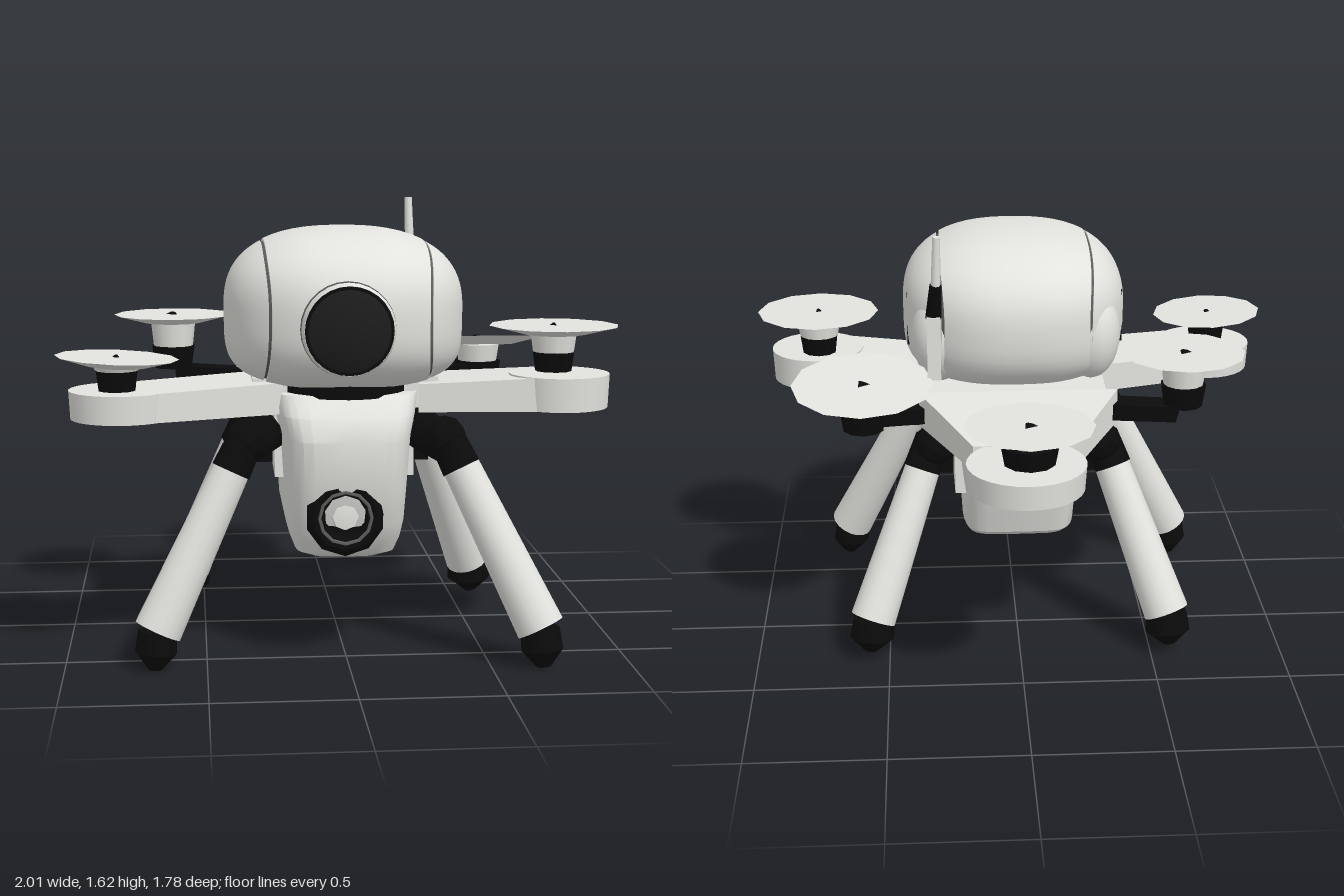
import * as THREE from 'three';
import { toCreasedNormals } from 'three/addons/utils/BufferGeometryUtils.js';

const mat = (name, color) => Object.assign(new THREE.MeshStandardMaterial({ color }), { name });

export function createModel() {
  const model = new THREE.Group();
  const shell = mat('pale grey shell', 0xe2e2de);
  const black = mat('black rubber', 0x0b0b0b);
  const glass = mat('dark glass', 0x1c1c1d);
  const seam = mat('seam grey', 0x5c5c5a);
  const V = (x, y, z) => new THREE.Vector3(x, y, z);

  const add = (name, geo, material, pos) => {
    const mesh = new THREE.Mesh(geo, material);
    mesh.name = name;
    if (pos) mesh.position.copy(pos);
    model.add(mesh);
    return mesh;
  };
  const faceted = (geo, angle = 0.01) => toCreasedNormals(geo, angle);

  // closed skin over rings of points, each ring counterclockwise about the axis
  const loft = (rings, crease) => {
    const n = rings[0].length, pts = rings.flat(), idx = [];
    for (let i = 0; i < rings.length - 1; i++) for (let j = 0; j < n; j++) {
      const a = i * n + j, b = i * n + (j + 1) % n;
      idx.push(a, b, b + n, a, b + n, a + n);
    }
    [rings[0], rings[rings.length - 1]].forEach((ring, end) => {
      const c = pts.length, o = end ? (rings.length - 1) * n : 0;
      pts.push(ring.reduce((s, p) => s.add(p), V(0, 0, 0)).divideScalar(n));
      for (let j = 0; j < n; j++) {
        const a = o + j, b = o + (j + 1) % n;
        if (end) idx.push(c, a, b); else idx.push(c, b, a);
      }
    });
    const geo = new THREE.BufferGeometry().setFromPoints(pts);
    geo.setIndex(idx);
    geo.computeVertexNormals();
    return toCreasedNormals(geo, crease);
  };
  const spow = (v, p) => Math.sign(v) * Math.pow(Math.abs(v), p);

  // round tapered rod between two points
  const rod = (name, a, b, ra, rb, material, sides = 16) => {
    const d = b.clone().sub(a);
    const geo = new THREE.CylinderGeometry(rb, ra, d.length(), sides);
    const mesh = add(name, geo, material, a.clone().add(b).multiplyScalar(0.5));
    mesh.quaternion.setFromUnitVectors(V(0, 1, 0), d.normalize());
    return mesh;
  };

  // flat beam between two points with its own width and height at each end
  const beam = (name, a, b, wa, wb, ha, hb, material) => {
    const geo = new THREE.BoxGeometry(1, 1, 1), p = geo.attributes.position;
    const d = b.clone().sub(a);
    const side = V(d.z, 0, -d.x).normalize();
    for (let i = 0; i < p.count; i++) {
      const t = p.getZ(i) + 0.5;
      const q = a.clone().addScaledVector(d, t)
        .addScaledVector(side, p.getX(i) * (wa + (wb - wa) * t));
      p.setXYZ(i, q.x, q.y + p.getY(i) * (ha + (hb - ha) * t), q.z);
    }
    return add(name, faceted(geo), material);
  };

  // head: slices of one domed pod with a fuller underside, cut by two curved seams
  const pod = (x0, x1, scale, steps) => {
    const rings = [], t0 = Math.asin(x0 / 0.425), t1 = Math.asin(x1 / 0.425);
    for (let i = 0; i <= steps; i++) {
      const x = 0.425 * Math.sin(t0 + (t1 - t0) * i / steps);
      const s = Math.pow(1 - Math.pow(Math.abs(x) / 0.425, 2.5), 0.4);
      rings.push(Array.from({ length: 48 }, (_, j) => {
        const a = j / 48 * Math.PI * 2, up = Math.cos(a), out = Math.sin(a);
        const e = up > 0 ? 2 / 2.35 : 2 / 3;
        const rise = 0.285 * scale * (up > 0 ? s : Math.sqrt(s));
        return V(x * (1 - 0.1 * (s * out) ** 4), 1.262 + rise * spow(up, e),
          0.315 + 0.465 * scale * s * spow(out, e));
      }));
    }
    return loft(rings, 0.7);
  };
  add('headMiddle', pod(-0.283, 0.283, 1, 14), shell);
  add('headSeams', pod(-0.3, 0.3, 0.965, 6), seam);
  add('headLeftSide', pod(0.293, 0.4248, 0.99, 14), shell);
  add('headRightSide', pod(-0.4248, -0.293, 0.99, 14), shell);
  for (const s of [-1, 1]) {
    const slot = add('headSideSlot', new THREE.BoxGeometry(0.03, 0.2, 0.025), black, V(s * 0.395, 1.23, 0.16));
    slot.rotation.x = 0.08;
    add('headRearCheek', new THREE.SphereGeometry(1, 20, 14), shell, V(s * 0.285, 1.19, 0.07))
      .scale.set(0.11, 0.175, 0.13);
  }

  // main camera
  const lathe = (name, profile, material, pos, sides = 28) => {
    const geo = new THREE.LatheGeometry(profile.map(p => new THREE.Vector2(...p)), sides);
    geo.rotateX(Math.PI / 2);
    return add(name, faceted(geo, 0.6), material, pos);
  };
  const lensAt = z => V(-0.02, 1.225, z);
  lathe('cameraRing', [[0.158, -0.08], [0.158, 0.08], [0.15, 0.1], [0.135, 0.1], [0.135, 0.06]], shell, lensAt(0.75));
  lathe('cameraBand', [[0.155, -0.01], [0.161, -0.01], [0.161, 0.01], [0.155, 0.01]], seam, lensAt(0.795));
  lathe('cameraBezel', [[0.15, 0], [0.148, 0.006], [0.138, 0.006]], black, lensAt(0.848));
  lathe('cameraLens', [[0.14, 0], [0.138, 0.034], [0.1, 0.05], [0.05, 0.06], [0, 0.063]], glass, lensAt(0.822));

  // antenna
  add('antennaBase', new THREE.BoxGeometry(0.05, 0.24, 0.08), shell, V(0.31, 1.2, -0.09));
  rod('antennaSocket', V(0.31, 1.31, -0.09), V(0.3, 1.45, -0.135), 0.03, 0.022, black, 8);
  rod('antennaRod', V(0.3, 1.44, -0.133), V(0.295, 1.63, -0.145), 0.018, 0.014, shell, 8);

  // lower hull from level sections: y, front z, back z, half width
  const hull = [
    [0.377, 0.5, 0.14, 0.12], [0.4, 0.55, 0.0, 0.18], [0.45, 0.585, -0.13, 0.2],
    [0.51, 0.62, -0.24, 0.212], [0.65, 0.655, -0.285, 0.22], [0.82, 0.685, -0.335, 0.23],
    [0.9, 0.655, -0.36, 0.25], [0.97, 0.58, -0.3, 0.265],
  ].map(([y, f, b, w]) => Array.from({ length: 32 }, (_, j) => {
    const a = j / 32 * Math.PI * 2;
    return V(w * spow(Math.sin(a), 0.36), y, (f + b) / 2 + (f - b) / 2 * spow(Math.cos(a), 0.36));
  }));
  add('lowerHull', loft(hull, 0.55), shell);
  beam('hullShoulders', V(0, 0.79, 0.42), V(0, 0.79, -0.22), 0.5, 0.48, 0.27, 0.25, shell);
  const neck = add('neck', new THREE.CylinderGeometry(0.3, 0.3, 0.05, 24), black, V(0, 0.985, 0.29));
  neck.scale.set(0.85, 1, 1.1);
  const patch = add('rearPort', new THREE.CylinderGeometry(0.05, 0.05, 0.02, 10), seam, V(-0.02, 0.72, -0.303));
  patch.rotation.x = Math.PI / 2 - 0.25;

  // lower camera
  const eye = V(-0.015, 0.55, 0.59);
  lathe('lowerCameraRing', [[0.14, -0.06], [0.14, 0.04], [0.115, 0.065], [0.08, 0.06], [0.07, 0.03], [0, 0.03]],
    black, eye, 10);
  lathe('lowerCameraCollar', [[0.1, 0.055], [0.095, 0.07], [0.088, 0.07], [0.083, 0.055]], seam, eye, 12);
  lathe('lowerCameraLens', [[0.052, 0.02], [0.045, 0.05], [0, 0.055]], shell, eye, 8);

  // deck and rotor arms
  add('deck', new THREE.BoxGeometry(0.66, 0.11, 0.62), shell, V(0, 0.965, 0.17));
  beam('rearArm', V(0, 0.965, -0.12), V(0, 0.925, -0.52), 0.74, 0.36, 0.13, 0.095, shell);
  beam('leftArm', V(0.28, 0.95, 0.36), V(0.72, 0.965, 0.43), 0.34, 0.32, 0.1, 0.12, shell);
  beam('rightArm', V(-0.28, 0.955, 0.37), V(-0.73, 0.945, 0.51), 0.34, 0.33, 0.11, 0.1, shell);
  const pad = (name, x, y, z, r, h) =>
    add(name, new THREE.CylinderGeometry(r, r * 0.97, h, 28), shell, V(x, y, z));
  pad('rearPad', 0, 0.925, -0.67, 0.21, 0.09);
  pad('leftPad', 0.77, 0.965, 0.445, 0.18, 0.12);
  pad('rightPad', -0.785, 0.945, 0.53, 0.185, 0.1);

  // rotors: x, disc height, z, disc radius, motor foot height, motor radius, cap radius, tilts
  [
    ['left', 0.76, 1.19, 0.39, 0.235, 1.02, 0.075, 0.018, 0, 0],
    ['right', -0.8, 1.11, 0.555, 0.215, 0.99, 0.075, 0.018, 0, -0.05],
    ['rearLeft', 0.575, 1.085, -0.17, 0.262, 0.92, 0.09, 0.035, -0.13, 0],
    ['rearRight', -0.61, 1.185, -0.16, 0.225, 0.99, 0.085, 0.032, 0, 0],
    ['rear', -0.01, 1.105, -0.668, 0.229, 0.965, 0.105, 0.035, 0, 0],
  ].forEach(([side, x, y, z, r, foot, motor, tip, tx, tz]) => {
    const disc = add(side + 'Rotor', faceted(new THREE.CylinderGeometry(r, r * 0.5, 0.03, 12)), shell, V(x, y - 0.015, z));
    disc.rotation.set(tx, 0, tz);
    const cap = add(side + 'RotorCap', faceted(new THREE.CylinderGeometry(tip * 0.3, tip, 0.012, 3)), black, V(x, y + 0.003, z));
    cap.rotation.set(tx, 0.5, tz);
    const mid = foot + 0.075;
    rod(side + 'Motor', V(x, foot - 0.01, z), V(x, mid, z), motor * 0.85, motor, black, 10);
    rod(side + 'Hub', V(x, mid, z), V(x, y - 0.025, z), 0.075, 0.085, shell, 12);
  });

  // brackets holding the two side rotors
  for (const s of [-1, 1]) {
    beam('sideRotorBracket', V(s * 0.32, 0.95, -0.1), V(s * 0.59, 0.96, -0.17), 0.11, 0.1, 0.06, 0.06, black);
  }

  // legs, mirrored
  for (const s of [-1, 1]) {
    [
      ['front', V(s * 0.38, 0.76, 0.51), V(s * 0.672, 0.15, s > 0 ? 0.68 : 0.61), V(s * 0.27, 0.83, 0.42), 0.012, 0.075],
      ['rear', V(s * 0.34, 0.76, -0.04), V(s * 0.56, 0.17, -0.262), V(s * 0.27, 0.82, 0.04), 0.045, 0.086],
    ].forEach(([end, hip, ankle, root, floor, sole]) => {
      const dir = ankle.clone().sub(hip).normalize();
      rod(end + 'Leg', hip.clone().addScaledVector(dir, 0.04), ankle, 0.066, 0.086, shell, 18);
      rod(end + 'Cuff', hip.clone().addScaledVector(dir, -0.06), hip.clone().addScaledVector(dir, 0.07), 0.065, 0.072, black, 9);
      rod(end + 'HipLink', root, hip, 0.08, 0.065, black, 8);
      add(end + 'HipJoint', faceted(new THREE.IcosahedronGeometry(0.082, 1)), black, hip.clone().add(V(-s * 0.03, 0.04, -0.02)));
      const bottom = V(ankle.x + s * 0.012, floor, ankle.z + dir.z * 0.05);
      const toe = ankle.clone().lerp(bottom, 0.55);
      rod(end + 'FootCollar', ankle, toe, sole * 0.92, sole, black, 9);
      rod(end + 'FootTip', toe, bottom, sole, 0.025, black, 7);
    });
    add('rearHipBlock', new THREE.BoxGeometry(0.1, 0.1, 0.16), black, V(s * 0.29, 0.71, 0.07));
  }
  return model;
}
